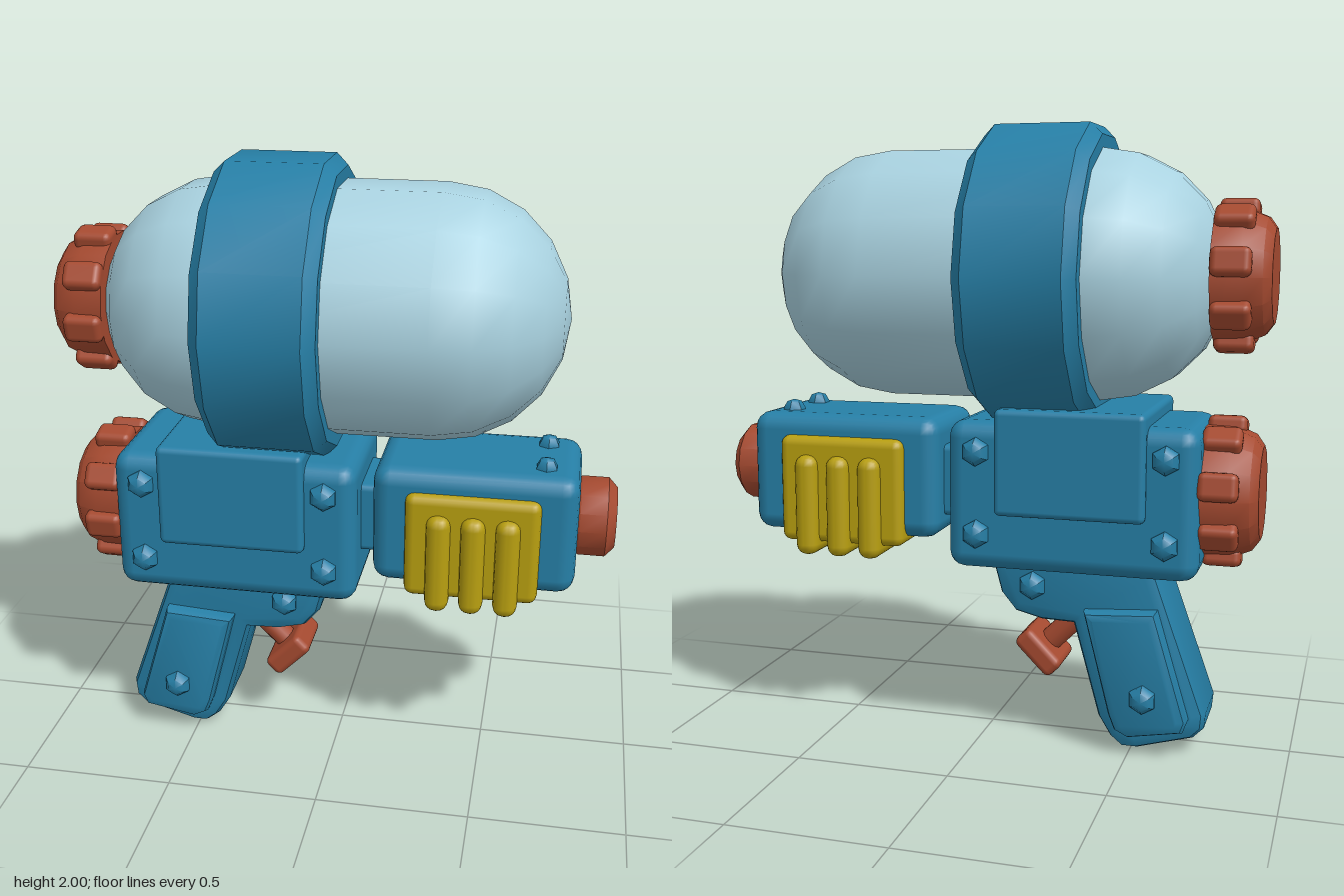
import * as THREE from 'three';
import { toCreasedNormals } from 'three/addons/utils/BufferGeometryUtils.js';
import { RoundedBoxGeometry } from 'three/addons/geometries/RoundedBoxGeometry.js';

function material(name, color) {
  const m = new THREE.MeshStandardMaterial({ color });
  m.name = name;
  return m;
}

export function createModel() {
  const blue = material('blue plastic', 0x267fa6);
  const pale = material('pale tank', 0xa9d2e0);
  const red = material('rust red', 0xa54a30);
  const yellow = material('yellow grip', 0xb89f10);

  const model = new THREE.Group();
  model.name = 'waterBlaster';

  function add(name, geometry, mat, parent = model) {
    const mesh = new THREE.Mesh(geometry, mat);
    mesh.name = name;
    parent.add(mesh);
    return mesh;
  }

  // Rounded box given by its x and y ranges and half depth
  function box(name, x0, x1, y0, y1, halfZ, radius, mat) {
    const mesh = add(name, new RoundedBoxGeometry(x1 - x0, y1 - y0, 2 * halfZ, 2, radius), mat);
    mesh.position.set((x0 + x1) / 2, (y0 + y1) / 2, 0);
    return mesh;
  }

  // Turned part along x: profile of [radius, x] with x increasing on the outside
  function turned(profile, sides, crease) {
    const g = new THREE.LatheGeometry(profile.map(([r, x]) => new THREE.Vector2(r, x)), sides);
    g.rotateZ(-Math.PI / 2);
    return toCreasedNormals(g, crease);
  }

  // Bevelled plate from an xy outline, centred on z = 0
  function plate(points, halfZ, bevel) {
    const shape = new THREE.Shape(points.map(([x, y]) => new THREE.Vector2(x, y)));
    const g = new THREE.ExtrudeGeometry(shape, {
      depth: 2 * (halfZ - bevel), bevelEnabled: true, bevelSize: bevel,
      bevelThickness: bevel, bevelOffset: -bevel, bevelSegments: 2,
    });
    g.translate(0, 0, bevel - halfZ);
    return toCreasedNormals(g, 0.65);
  }

  // Tank: 14-sided capsule
  const tankProfile = [];
  for (let i = 0; i <= 5; i++) {
    const a = (i * Math.PI) / 10;
    tankProfile.push([0.405 * Math.sin(a), -0.37 - 0.4 * Math.cos(a)]);
  }
  for (let i = 5; i >= 0; i--) {
    const a = (i * Math.PI) / 10;
    tankProfile.push([0.405 * Math.sin(a), 0.32 + 0.4 * Math.cos(a)]);
  }
  add('tank', turned(tankProfile, 14, 1), pale).position.y = 1.53;

  // Strap ring around the tank
  add('tankRing', turned([
    [0.39, -0.38], [0.445, -0.38], [0.482, -0.343], [0.482, -0.037], [0.445, 0], [0.39, 0],
  ], 14, 0.6), blue).position.y = 1.53;

  // Ridged screw caps on the tank and the body
  const capGeometry = turned([
    [0, -0.18], [0.15, -0.18], [0.185, -0.155], [0.212, -0.09], [0.215, 0], [0, 0.01],
  ], 14, 0.6);
  const ridgeGeometry = new RoundedBoxGeometry(0.125, 0.06, 0.09, 2, 0.022);
  function cap(name, x, y) {
    const group = new THREE.Group();
    group.name = name;
    group.position.set(x, y, 0);
    add('capBody', capGeometry, red, group);
    for (let i = 0; i < 8; i++) {
      const a = ((i * 45 - 13) * Math.PI) / 180;
      const ridge = add('capRidge', ridgeGeometry, red, group);
      ridge.position.set(-0.062, 0.21 * Math.sin(a), 0.21 * Math.cos(a));
      ridge.rotation.x = Math.PI / 2 - a;
    }
    model.add(group);
  }
  cap('tankCap', -0.73, 1.53);
  cap('rearCap', -0.71, 0.85);

  // Body, raised panel, neck and front housing
  box('body', -0.72, 0.085, 0.595, 1.075, 0.25, 0.055, blue);
  box('bodyPanel', -0.56, -0.08, 0.78, 1.12, 0.28, 0.02, blue);
  box('neck', 0.03, 0.18, 0.74, 0.975, 0.13, 0.02, blue);
  box('frontHousing', 0.13, 0.785, 0.67, 1.07, 0.21, 0.055, blue);

  // Yellow grip wrapping the front housing
  box('grip', 0.24, 0.67, 0.645, 1.0, 0.24, 0.03, yellow);
  for (const x of [0.35, 0.46, 0.57]) {
    box('gripRib', x - 0.039, x + 0.039, 0.605, 0.94, 0.275, 0.036, yellow);
  }

  // Nozzle with a recessed bore
  add('nozzle', turned([
    [0.115, 0.76], [0.132, 0.79], [0.132, 0.875], [0.1, 0.905], [0.068, 0.905], [0.06, 0.84], [0, 0.84],
  ], 14, 0.6), red).position.y = 0.87;

  // Handle with the block above the trigger
  add('handle', plate([
    [-0.56, 0.65], [-0.58, 0.59], [-0.74, 0.14], [-0.735, 0.09], [-0.7, 0.055], [-0.52, 0.003],
    [-0.47, 0.003], [-0.43, 0.035], [-0.39, 0.1], [-0.305, 0.405], [-0.2, 0.408], [-0.11, 0.43],
    [-0.06, 0.49], [-0.03, 0.6], [-0.03, 0.65],
  ], 0.14, 0.04), blue);
  add('handlePanel', plate([
    [-0.585, 0.48], [-0.69, 0.13], [-0.675, 0.09], [-0.5, 0.058], [-0.455, 0.08],
    [-0.435, 0.13], [-0.35, 0.465],
  ], 0.195, 0.03), blue);

  // Trigger: slanted rod and pad
  const trigger = new THREE.Group();
  trigger.name = 'trigger';
  trigger.position.set(-0.18, 0.285, 0);
  trigger.rotation.z = -Math.PI / 4;
  add('triggerPad', new RoundedBoxGeometry(0.075, 0.165, 0.2, 2, 0.022), red, trigger);
  const rod = add('triggerRod', new THREE.CylinderGeometry(0.04, 0.04, 0.24, 10), red, trigger);
  rod.rotation.z = Math.PI / 2;
  rod.position.x = -0.12;
  model.add(trigger);

  // Domed hexagonal screws
  const screwGeometry = toCreasedNormals(new THREE.LatheGeometry(
    [[0.046, -0.02], [0.046, 0.012], [0.03, 0.035], [0, 0.042]].map(([r, y]) => new THREE.Vector2(r, y)), 6), 0.8);
  for (const side of [-1, 1]) {
    for (const [x, y, z] of [
      [-0.62, 0.98, 0.25], [-0.62, 0.715, 0.25], [-0.017, 0.98, 0.25], [-0.017, 0.715, 0.25],
      [-0.175, 0.53, 0.14], [-0.55, 0.2, 0.195],
    ]) {
      const screw = add('sideScrew', screwGeometry, blue);
      screw.position.set(x, y, side * z);
      screw.rotation.x = (side * Math.PI) / 2;
    }
    const top = add('topScrew', screwGeometry, blue);
    top.position.set(0.675, 1.063, side * 0.1);
    top.scale.set(0.8, 1, 0.8);
  }
  return model;
}
